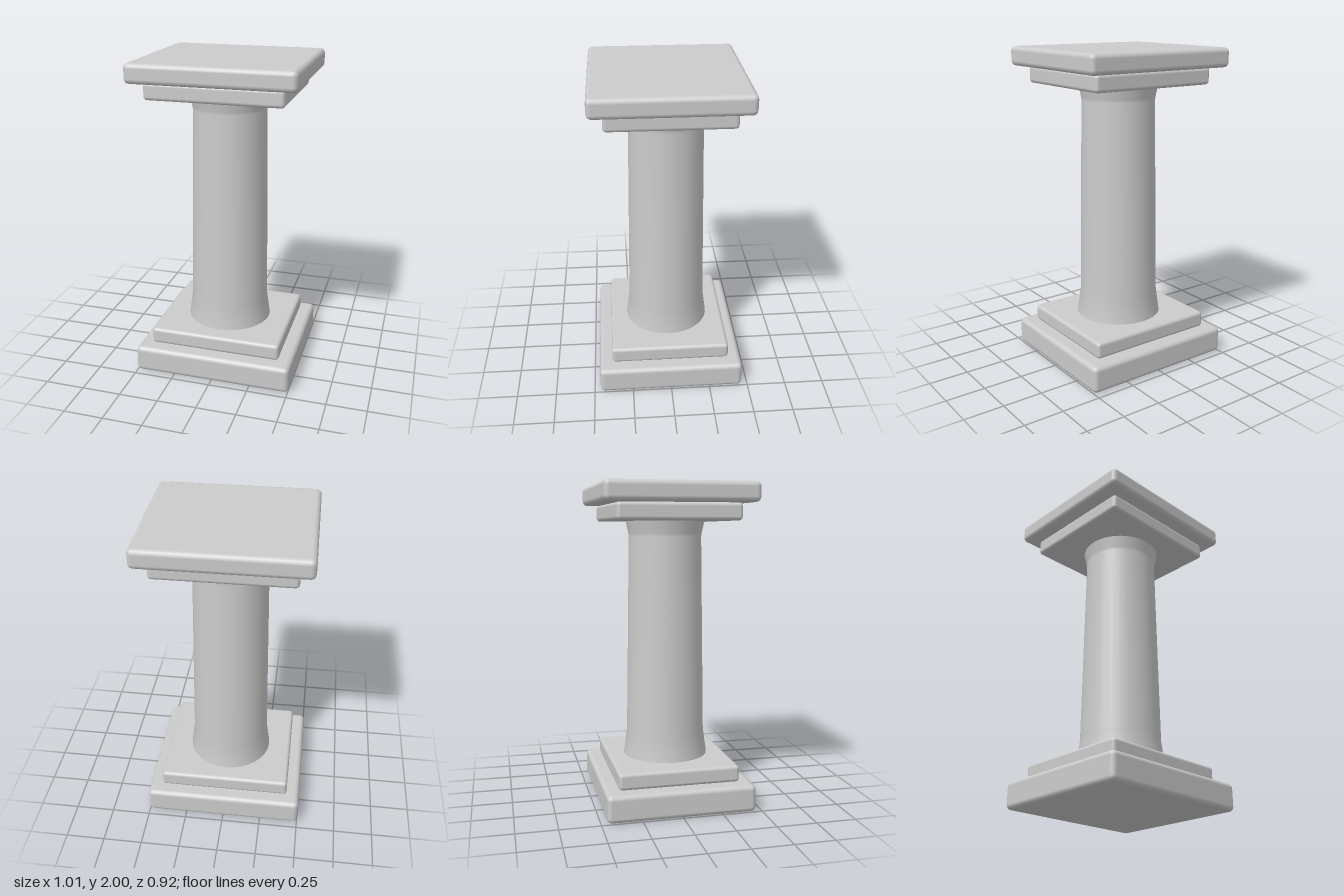
import * as THREE from 'three';
import { RoundedBoxGeometry } from 'three/addons/geometries/RoundedBoxGeometry.js';

export function createModel() {
  const group = new THREE.Group();
  const stone = new THREE.MeshStandardMaterial({ color: 0xcccccc });

  const add = (name, geometry, y = 0) => {
    const mesh = new THREE.Mesh(geometry, stone);
    mesh.name = name;
    mesh.position.y = y;
    group.add(mesh);
  };

  // Softly rounded slabs: name, width, depth, bottom, top
  const slabs = [
    ['basePlinth', 1.008, 0.924, 0, 0.17],
    ['baseStep', 0.84, 0.756, 0.17, 0.275],
    ['capitalStep', 0.84, 0.756, 1.775, 1.88],
    ['capitalSlab', 1.008, 0.924, 1.88, 2],
  ];
  for (const [name, width, depth, bottom, top] of slabs) {
    add(name, new RoundedBoxGeometry(width, top - bottom, depth, 2, name.endsWith('Step') ? 0.022 : 0.03), (bottom + top) / 2);
  }

  // Tapered round shaft, flared at both ends
  const profile = [
    [0.272, 0.265], [0.271, 0.275], [0.25, 0.43],
    [0.23, 1.68], [0.233, 1.7], [0.25, 1.78],
  ].map(([r, y]) => new THREE.Vector2(r, y));
  add('shaft', new THREE.LatheGeometry(profile, 32));

  return group;
}
